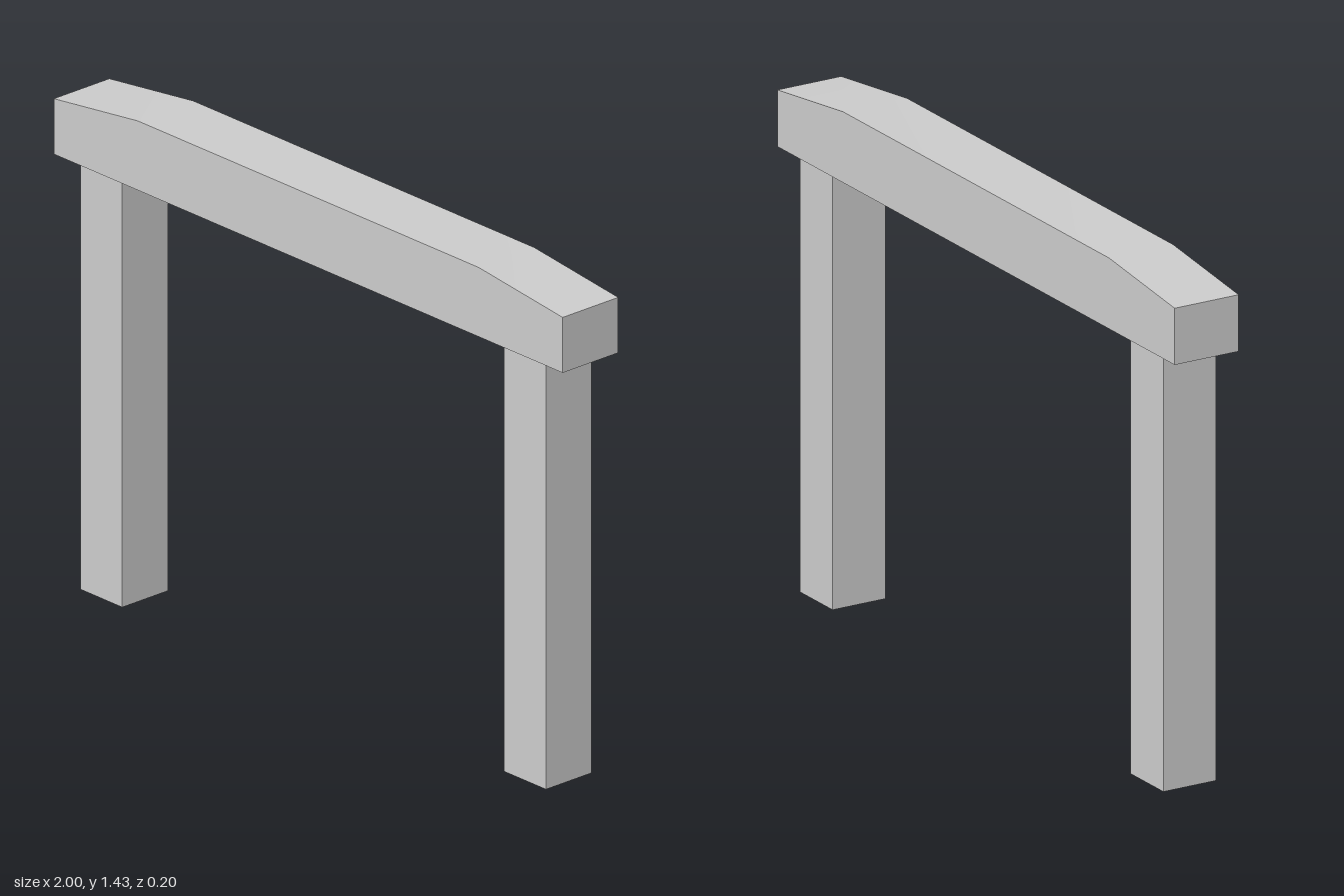
import * as THREE from 'three';
import { mergeGeometries, toCreasedNormals } from 'three/addons/utils/BufferGeometryUtils.js';

const BOTTOM = 1.235, SHOULDER = 1.395, TOP = 1.435, HALF_DEPTH = 0.1;
const LEG = { size: 0.165, x: 0.8325 };
const POCKET = { x: 0.47, halfX: 0.085, halfZ: 0.056, depth: 0.06 };

// Two triangles from four corners, counter-clockwise as seen from outside
function quad(a, b, c, d) {
  const g = new THREE.BufferGeometry();
  g.setAttribute('position', new THREE.Float32BufferAttribute([a, b, c, a, c, d].flat(), 3));
  g.computeVertexNormals();
  return g;
}

function flat(shape) {
  const g = new THREE.ShapeGeometry(shape).toNonIndexed();
  g.deleteAttribute('uv');
  return g;
}

function rectangle(x, halfX, halfZ) {
  return [[x - halfX, -halfZ], [x + halfX, -halfZ], [x + halfX, halfZ], [x - halfX, halfZ]];
}

const toPoints = (list) => list.map(([x, y]) => new THREE.Vector2(x, y));

function beamGeometry() {
  const profile = [[1, BOTTOM], [1, SHOULDER], [0.67, TOP], [-0.67, TOP], [-1, SHOULDER], [-1, BOTTOM]];
  const parts = [];

  // Front and back faces
  const side = new THREE.Shape(toPoints(profile));
  parts.push(flat(side).translate(0, 0, HALF_DEPTH));
  parts.push(flat(side).rotateY(Math.PI).translate(0, 0, -HALF_DEPTH));

  // Ends, slopes and top
  for (let i = 0; i < profile.length - 1; i++) {
    const p = profile[i], q = profile[i + 1];
    parts.push(quad([...p, HALF_DEPTH], [...p, -HALF_DEPTH], [...q, -HALF_DEPTH], [...q, HALF_DEPTH]));
  }

  // Underside with two rectangular pockets
  const underside = new THREE.Shape(toPoints(rectangle(0, 1, HALF_DEPTH)));
  const ceiling = BOTTOM + POCKET.depth;
  for (const s of [-1, 1]) {
    const c = rectangle(s * POCKET.x, POCKET.halfX, POCKET.halfZ);
    underside.holes.push(new THREE.Path(toPoints(c)));
    const at = (i, y) => [c[i % 4][0], y, c[i % 4][1]];
    for (let i = 0; i < 4; i++) {
      parts.push(quad(at(i, BOTTOM), at(i + 1, BOTTOM), at(i + 1, ceiling), at(i, ceiling)));
    }
    parts.push(quad(at(0, ceiling), at(1, ceiling), at(2, ceiling), at(3, ceiling)));
  }
  parts.push(flat(underside).rotateX(Math.PI / 2).translate(0, BOTTOM, 0));

  // Soft shading across the gentle slopes, sharp edges elsewhere
  return toCreasedNormals(mergeGeometries(parts), 0.3);
}

export function createModel() {
  const model = new THREE.Group();
  model.name = 'postAndBeamFrame';
  const material = new THREE.MeshStandardMaterial({ color: 0xcccccc });

  const beam = new THREE.Mesh(beamGeometry(), material);
  beam.name = 'beam';
  model.add(beam);

  // Square posts
  const postGeometry = new THREE.BoxGeometry(LEG.size, BOTTOM, LEG.size);
  for (const [name, s] of [['leftPost', 1], ['rightPost', -1]]) {
    const post = new THREE.Mesh(postGeometry, material);
    post.name = name;
    post.position.set(s * LEG.x, BOTTOM / 2, 0);
    model.add(post);
  }
  return model;
}
